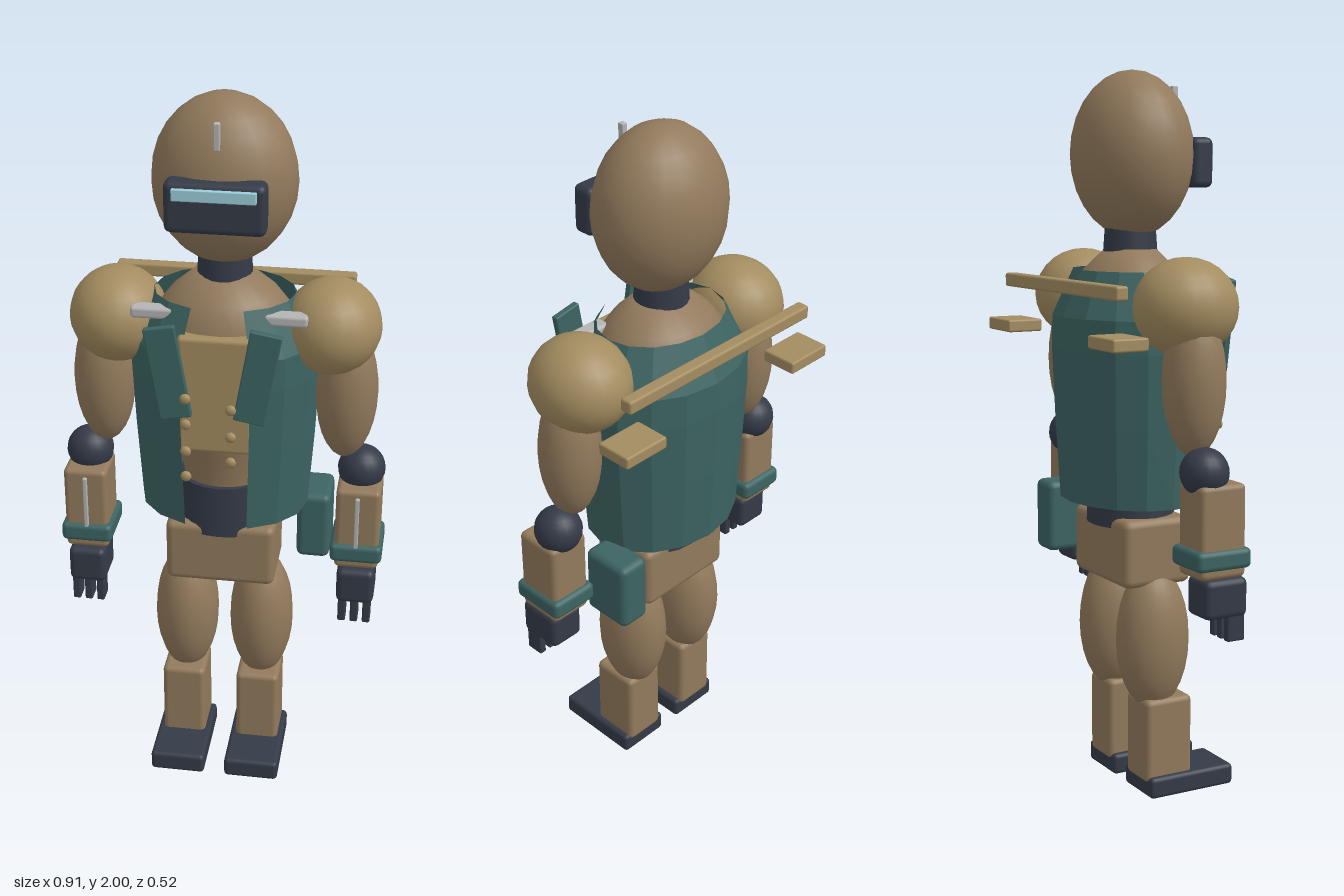
import * as THREE from 'three';
import { RoundedBoxGeometry } from 'three/addons/geometries/RoundedBoxGeometry.js';

const mat = (color, extra = {}) => {
  const m = new THREE.MeshStandardMaterial(extra);
  m.color.set(color);
  return m;
};
const BROWN = mat(0x927a5c), TAN = mat(0xa38c60), DARK = mat(0x343a47), TEAL = mat(0x3c6462);
const SILVER = mat(0xb4b4b4), GLOW = mat(0x9ccfdb);
const CLOTH = mat(0x3c6462, { side: THREE.DoubleSide, flatShading: true });

export function createModel() {
  const root = new THREE.Group();

  const add = (name, geometry, material, parent = root) => {
    const mesh = new THREE.Mesh(geometry, material);
    mesh.name = name;
    parent.add(mesh);
    return mesh;
  };
  // bevelled box given by its min / max on each axis
  const box = (name, material, [x0, x1], [y0, y1], [z0, z1], bevel = 0.012, parent = root) => {
    const w = x1 - x0, h = y1 - y0, d = z1 - z0;
    const r = Math.min(bevel, w * 0.3, h * 0.3, d * 0.3);
    const mesh = add(name, new RoundedBoxGeometry(w, h, d, 2, r), material, parent);
    mesh.position.set((x0 + x1) / 2, (y0 + y1) / 2, (z0 + z1) / 2);
    return mesh;
  };
  const ball = (name, material, [x, y, z], [rx, ry, rz], parent = root, segs = 20) => {
    const geometry = new THREE.SphereGeometry(1, segs, Math.round(segs * 0.7)).scale(rx, ry, rz);
    const mesh = add(name, geometry, material, parent);
    mesh.position.set(x, y, z);
    return mesh;
  };
  const points = (list) => list.map(([r, y]) => new THREE.Vector2(r, y));

  // head, visor and antenna
  ball('head', BROWN, [0, 1.775, 0.004], [0.192, 0.225, 0.162]);
  box('visor', DARK, [-0.13, 0.13], [1.685, 1.82], [0.125, 0.19], 0.018);
  box('visorStrip', GLOW, [-0.107, 0.107], [1.775, 1.806], [0.18, 0.2], 0.003);
  box('antenna', SILVER, [-0.008, 0.008], [1.89, 1.96], [0.128, 0.146], 0.003);

  const neck = add('neck', new THREE.CylinderGeometry(0.07, 0.077, 0.1, 20), DARK);
  neck.position.y = 1.535;

  // torso
  const torso = add('torso', new THREE.LatheGeometry(points([
    [0.11, 0.88], [0.125, 1.0], [0.17, 1.15], [0.2, 1.3], [0.195, 1.4], [0.145, 1.465], [0.08, 1.52], [0, 1.52],
  ]), 24), BROWN);
  torso.scale.z = 0.85;
  const waist = add('waist', new THREE.CylinderGeometry(0.13, 0.14, 0.15, 20), DARK);
  waist.position.y = 0.835;
  waist.scale.z = 0.85;
  box('pelvis', BROWN, [-0.155, 0.155], [0.6, 0.79], [-0.1, 0.11], 0.022);
  box('chestPanel', TAN, [-0.1, 0.1], [1.065, 1.4], [0.08, 0.187], 0.012);

  // sleeveless vest, open at the front
  const gap = 0.37;
  const vest = add('vest', new THREE.LatheGeometry(points([
    [0.235, 0.83], [0.25, 1.05], [0.26, 1.25], [0.258, 1.34], [0.19, 1.465],
  ]), 14, gap, Math.PI * 2 - gap * 2), CLOTH);
  vest.scale.z = 0.8;

  // two columns of buttons
  [[-0.068, 0.248, [1.255, 1.18, 1.1, 1.025]], [0.05, 0.238, [1.225, 1.145, 1.07]]].forEach(([x, z, rows]) => {
    rows.forEach((y) => ball('button', TAN, [x, y, z], [0.015, 0.015, 0.01], root, 10));
  });

  // pouch on the left hip
  box('hipPouch', TEAL, [0.205, 0.3], [0.64, 0.845], [-0.152, 0.0], 0.02);

  // bar and end plates behind the shoulders
  box('backBar', TAN, [-0.335, 0.335], [1.405, 1.443], [-0.225, -0.188], 0.007);

  // paired parts
  for (const s of [1, -1]) {
    const side = new THREE.Group();
    side.name = s > 0 ? 'leftSide' : 'rightSide';
    root.add(side);
    const sbox = (name, material, [x0, x1], y, z, bevel) =>
      box(name, material, s > 0 ? [x0, x1] : [-x1, -x0], y, z, bevel, side);
    const sball = (name, material, [x, y, z], r) => ball(name, material, [s * x, y, z], r, side);

    sbox('backPlate', TAN, [0.24, 0.38], [1.28, 1.315], [-0.258, -0.154], 0.006);
    sbox('shoulderClip', SILVER, [0.11, 0.235], [1.418, 1.45], [0.08, 0.125], 0.012);
    const lapel = sbox('lapel', TEAL, [0.076, 0.16], [1.185, 1.445], [0.212, 0.232], 0.004);
    lapel.rotation.z = -s * 0.17;

    // arm
    sball('shoulder', TAN, [0.29, 1.38, 0.005], [0.132, 0.13, 0.143]);
    sball('upperArm', BROWN, [0.334, 1.19, 0.005], [0.085, 0.2, 0.085]);
    sball('elbow', DARK, [0.384, 0.957, 0.008], [0.066, 0.066, 0.066]);
    sbox('forearm', BROWN, [0.322, 0.445], [0.68, 0.93], [-0.035, 0.102], 0.015);
    sbox('cuff', TEAL, [0.31, 0.455], [0.705, 0.76], [-0.05, 0.115], 0.015);
    sbox('forearmRod', SILVER, [0.376, 0.388], [0.74, 0.91], [0.098, 0.112], 0.003);
    sbox('hand', DARK, [0.332, 0.438], [0.57, 0.677], [-0.015, 0.115], 0.018);
    for (const x of [0.35, 0.385, 0.42]) {
      sbox('finger', DARK, [x - 0.011, x + 0.011], [0.505, 0.59], [0.055, 0.108], 0.005);
    }

    // leg
    sball('thigh', BROWN, [0.11, 0.445, 0.01], [0.092, 0.205, 0.106]);
    sbox('shin', BROWN, [0.047, 0.172], [0.04, 0.28], [-0.04, 0.105], 0.016);
    sbox('foot', DARK, [0.03, 0.188], [0, 0.06], [-0.035, 0.232], 0.012);
  }
  return root;
}
